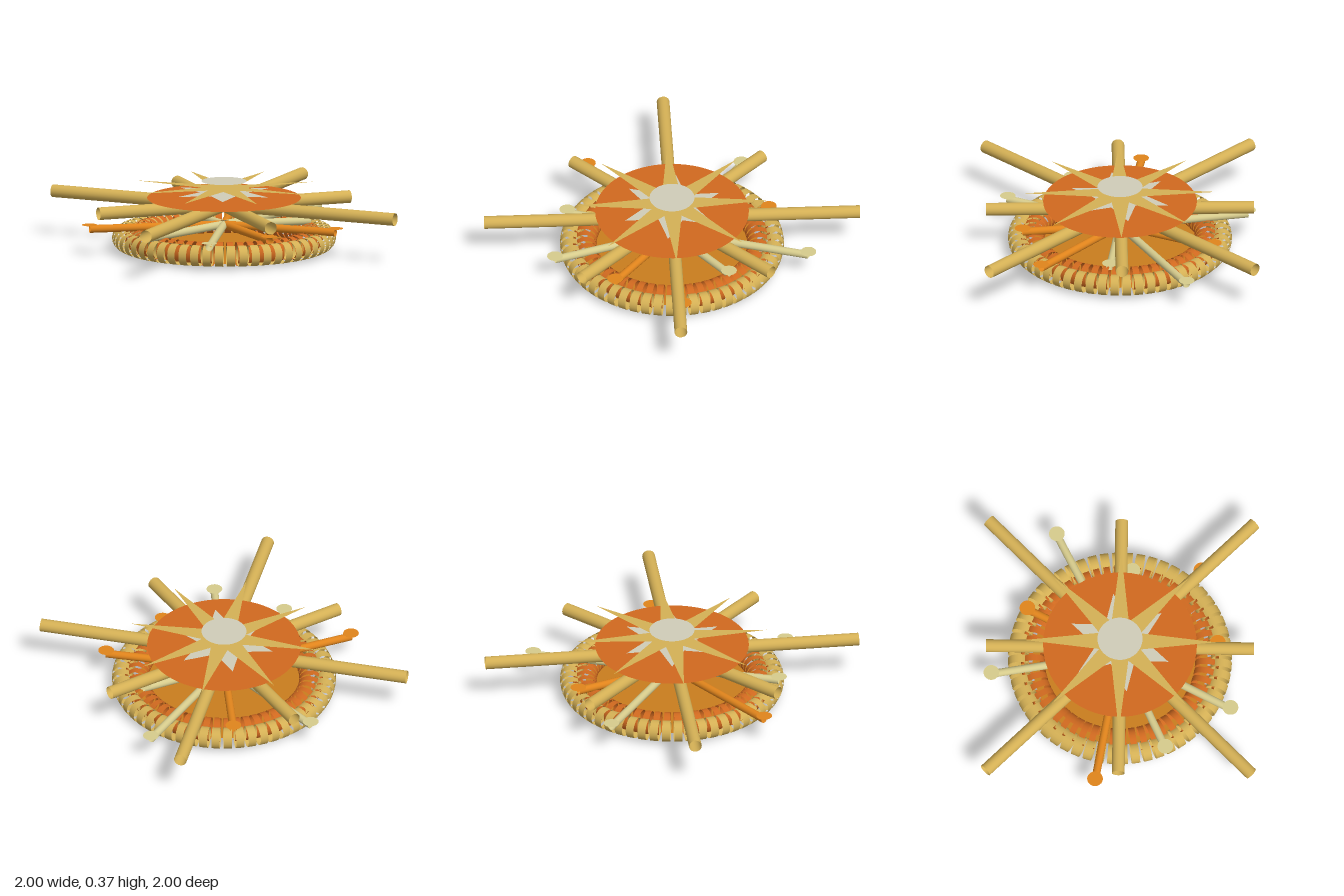
import * as THREE from 'three';

const mat = (name, color) => {
  const m = new THREE.MeshStandardMaterial({ color, side: THREE.DoubleSide });
  m.name = name;
  return m;
};

export function createModel() {
  const gold = mat('gold', 0xd4b055);
  const rust = mat('rust', 0xd0691f);
  const amber = mat('amber', 0xc97d1e);
  const orange = mat('orange', 0xe0841c);
  const cream = mat('cream', 0xd6cb8c);
  const silver = mat('silver', 0xcfccb8);

  const model = new THREE.Group();
  model.name = 'sunburstOrnament';

  const add = (name, geometry, material, parent = model) => {
    const mesh = new THREE.Mesh(geometry, material);
    mesh.name = name;
    parent.add(mesh);
    return mesh;
  };
  const group = (name) => {
    const g = new THREE.Group();
    g.name = name;
    model.add(g);
    return g;
  };

  // Flat sheet lying at height y, facing up
  const flat = (name, geometry, material, y, parent) => {
    geometry.rotateX(-Math.PI / 2);
    const mesh = add(name, geometry, material, parent);
    mesh.position.y = y;
    return mesh;
  };

  // Star outline with its first tip at the given angle
  const star = (points, outer, inner, start) => {
    const pts = [];
    for (let i = 0; i < points * 2; i++) {
      const r = i % 2 ? inner : outer;
      const a = start + (i * Math.PI) / points;
      pts.push(new THREE.Vector2(r * Math.cos(a), r * Math.sin(a)));
    }
    return new THREE.ShapeGeometry(new THREE.Shape(pts));
  };

  // Wrapped ring made of separate bands around a circle
  const bandRing = (name, material, count, major, minor, width, y) => {
    const ring = group(name);
    const geo = new THREE.CylinderGeometry(minor, minor, width, 20, 1, true);
    geo.rotateX(Math.PI / 2);
    geo.translate(major, 0, 0);
    for (let i = 0; i < count; i++) {
      const band = add('band', geo, material, ring);
      band.rotation.y = ((i + 0.5) / count) * Math.PI * 2;
      band.position.y = y;
    }
  };
  bandRing('outerBandRing', gold, 56, 0.541, 0.056, 0.044, 0.067);
  bandRing('innerBandRing', rust, 56, 0.465, 0.064, 0.034, 0.065);

  // Open tube running outward from near the centre
  const spoke = (name, radius, from, to, angle, y, material, parent) => {
    const geo = new THREE.CylinderGeometry(radius, radius, to - from, 20, 1, true);
    geo.rotateZ(-Math.PI / 2);
    geo.translate((from + to) / 2, 0, 0);
    const mesh = add(name, geo, material, parent);
    mesh.rotation.y = angle;
    mesh.position.y = y;
  };

  // Base plate
  flat('basePlate', new THREE.CircleGeometry(0.468, 64), amber, 0.012);

  // Thin sticks with round tips: x and z of each tip
  const sticks = group('sticks');
  const addSticks = (tips, material) => {
    for (const [x, z] of tips) {
      spoke('stick', 0.021, 0.02, Math.hypot(x, z), Math.atan2(-z, x), 0.139, material, sticks);
      const tip = flat('stickTip', new THREE.CircleGeometry(0.042, 24), material, 0.161, sticks);
      tip.position.x = x;
      tip.position.z = z;
    }
  };
  addSticks([[0.14, -0.74], [-0.615, -0.325], [-0.13, 0.57], [0.28, 0.605], [0.335, -0.33]], cream);
  addSticks([[-0.54, 0.49], [-0.24, -0.5], [0.63, -0.11], [0.45, 0.27]], orange);

  // Eight large rays, long and short in turn
  const tilt = THREE.MathUtils.degToRad(7);
  const rays = group('rays');
  for (let i = 0; i < 8; i++) {
    const length = i % 2 ? 0.715 : 1.003;
    spoke('ray', 0.034, 0.03, length, tilt + (i * Math.PI) / 4, 0.243, gold, rays);
  }

  // Stacked face: disc, two stars and centre
  flat('upperDisc', new THREE.CircleGeometry(0.41, 64), rust, 0.283);
  flat('silverStar', star(6, 0.28, 0.13, 0), silver, 0.312);
  flat('goldStar', star(8, 0.51, 0.12, tilt), gold, 0.337);
  flat('centreDisc', new THREE.CircleGeometry(0.12, 48), silver, 0.374);

  return model;
}
